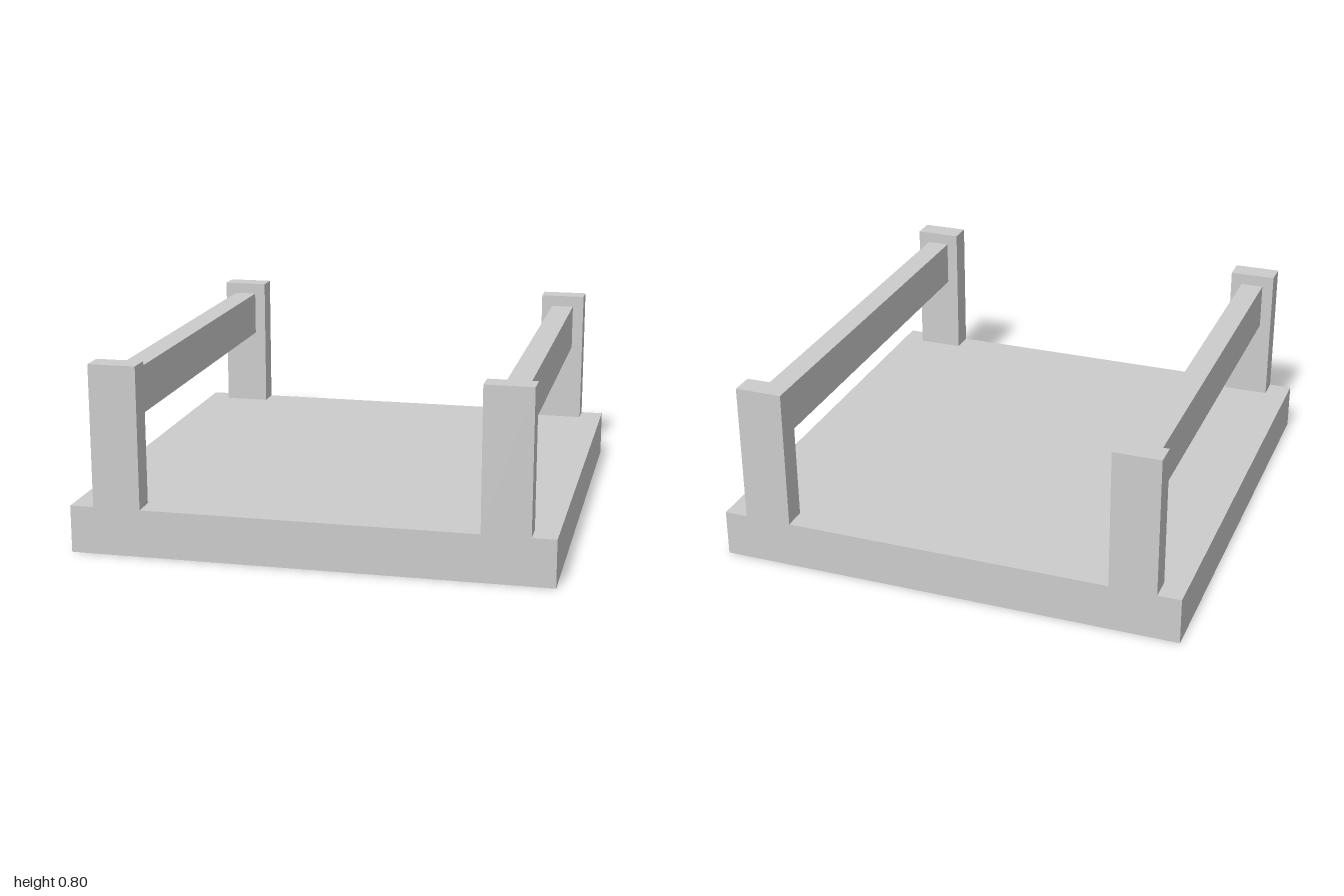
import * as THREE from 'three';

export function createModel() {
  const model = new THREE.Group();
  model.name = 'railedPlatform';
  const material = new THREE.MeshStandardMaterial({ color: 0xcccccc });

  // Box given by its size and centre
  const addBox = (name, size, centre) => {
    const mesh = new THREE.Mesh(new THREE.BoxGeometry(...size), material);
    mesh.name = name;
    mesh.position.set(...centre);
    model.add(mesh);
  };

  // Square base slab
  addBox('base', [2, 0.2, 2], [0, 0.1, 0]);

  for (const [side, sx] of [['left', 1], ['right', -1]]) {
    // Corner posts, flush with the front and back edges
    for (const [end, sz] of [['Front', 1], ['Back', -1]]) {
      addBox(`${side}${end}Post`, [0.2, 0.6, 0.1], [sx * 0.8, 0.5, sz * 0.95]);
    }
    // Rail between the posts
    addBox(`${side}Rail`, [0.1, 0.2, 1.8], [sx * 0.8, 0.65, 0]);
  }

  return model;
}
